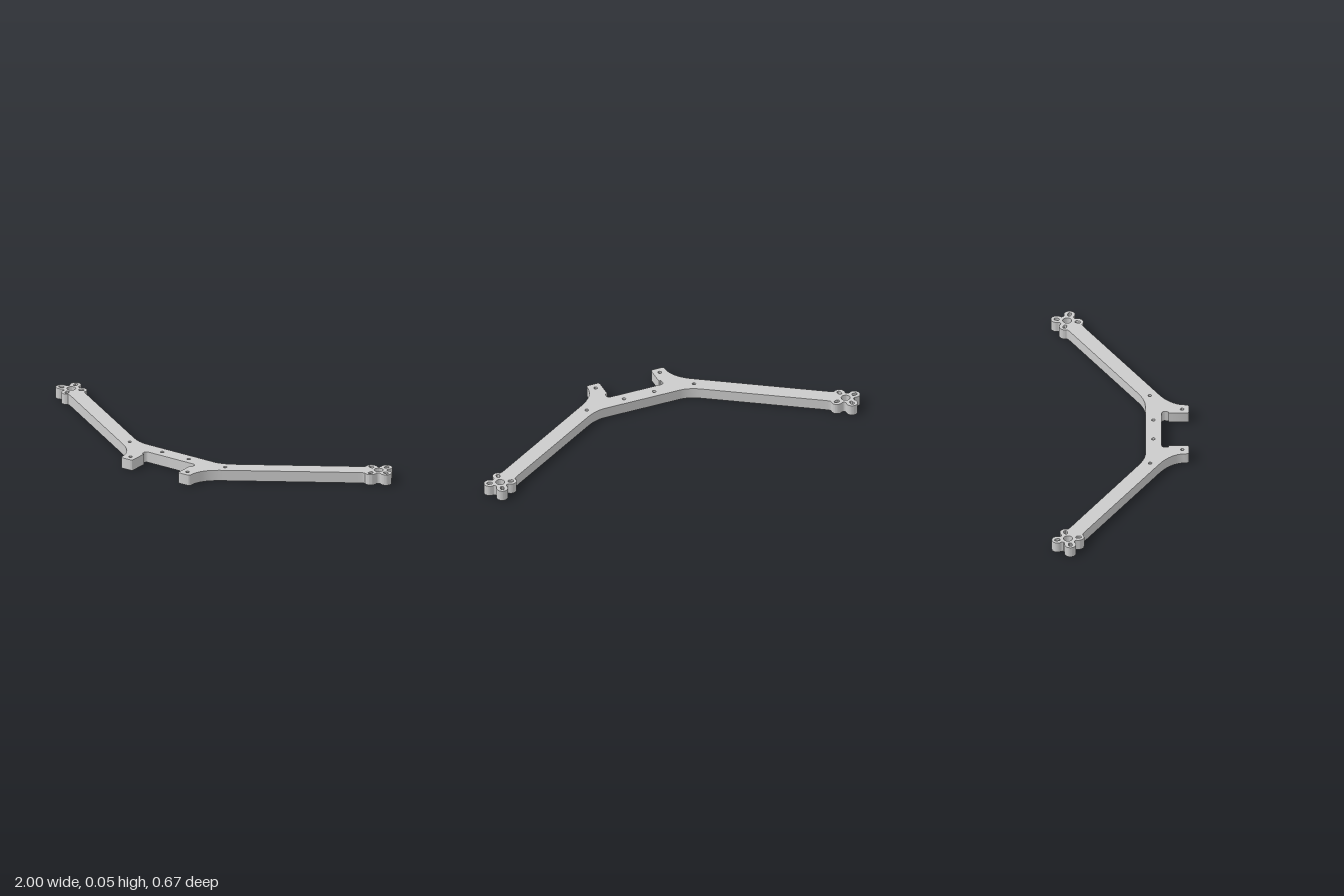
import * as THREE from 'three';
import { toCreasedNormals } from 'three/addons/utils/BufferGeometryUtils.js';

const THICK = 0.055;
const MOUNT = new THREE.Vector2(0.921, -0.258); // motor mount centre
const TILT = -0.569;                            // arm direction in plan
const LOBE = 0.053, LOBE_R = 0.028;             // lobe distance and radius
const rad = THREE.MathUtils.degToRad;

// mount-local point (u along the arm, v across it) to plan x, z
const toPlan = (p) => p.clone().rotateAround(new THREE.Vector2(), TILT).add(MOUNT);

// Four-lobed mount outline with concave fillets, joined to both arm edges
function mountOutline() {
  const path = new THREE.Path();
  const first = rad(-165);
  const c = LOBE * Math.SQRT1_2;
  path.moveTo(-0.1, -0.04);
  path.quadraticCurveTo(-0.068, -0.04, -c + LOBE_R * Math.cos(first), -c + LOBE_R * Math.sin(first));
  for (let k = 0; k < 4; k++) {
    const deg = -135 + 90 * k, a = rad(deg);
    const start = k === 0 ? first : rad(deg - 114.5);
    const end = k === 3 ? rad(165) : rad(deg + 114.5);
    path.absarc(LOBE * Math.cos(a), LOBE * Math.sin(a), LOBE_R, start, end, false);
    if (k < 3) {
      const m = rad(deg + 45);
      path.absarc(0.0515 * Math.cos(m), 0.0515 * Math.sin(m), 0.012, rad(deg + 294.5), rad(deg + 155.5), true);
    }
  }
  path.quadraticCurveTo(-0.068, 0.04, -0.1, 0.04);
  return path.getPoints(10).map(toPlan);
}

// One half of the plate outline, from the back centre round to the front centre
function halfOutline() {
  const back = new THREE.Path();
  back.moveTo(0, 0.123);
  back.lineTo(0.2, 0.123);
  back.quadraticCurveTo(0.25, 0.123, 0.307, 0.086);

  const leg = new THREE.Path();
  leg.moveTo(0.3, 0.187);
  leg.quadraticCurveTo(0.207, 0.246, 0.207, 0.322);   // flare into the leg
  leg.quadraticCurveTo(0.207, 0.337, 0.192, 0.337);
  leg.lineTo(0.15, 0.337);
  leg.quadraticCurveTo(0.137, 0.337, 0.137, 0.324);
  leg.lineTo(0.137, 0.236);
  leg.lineTo(0.148, 0.236);                           // corner relief notch
  leg.lineTo(0.15, 0.219);
  leg.quadraticCurveTo(0.15, 0.203, 0.134, 0.203);
  leg.lineTo(0, 0.203);
  return [...back.getPoints(10), ...mountOutline(), ...leg.getPoints(12)];
}

function roundHole(x, z, r) {
  const hole = new THREE.Path();
  hole.absarc(x, z, r, 0, Math.PI * 2, true);
  return hole.getPoints(16).slice(0, -1);
}

// Short radial slot in a mount lobe
function slotHole(angle) {
  const slot = new THREE.Path();
  const r = 0.009, inner = LOBE - 0.005, outer = LOBE + 0.005;
  slot.absarc(outer, 0, r, -Math.PI / 2, Math.PI / 2, false);
  slot.absarc(inner, 0, r, Math.PI / 2, Math.PI * 1.5, false);
  return slot.getPoints(8).map((p) => toPlan(p.rotateAround(new THREE.Vector2(), angle)));
}

export function createModel() {
  const group = new THREE.Group();
  group.name = 'armBracket';

  const mirror = (points) => points.map((p) => new THREE.Vector2(-p.x, p.y));
  const half = halfOutline();
  const shape = new THREE.Shape([...half, ...mirror(half).reverse().slice(1, -1)]);

  // Fixing holes, shaft hole and slots, mirrored to both sides
  const holes = [
    roundHole(0.08, 0.162, 0.009),
    roundHole(0.286, 0.146, 0.009),
    roundHole(0.171, 0.303, 0.009),
    roundHole(MOUNT.x, MOUNT.y, 0.022),
    ...[45, 135, 225, 315].map((d) => slotHole(rad(d))),
  ];
  for (const h of holes) shape.holes.push(new THREE.Path(h), new THREE.Path(mirror(h)));

  let geometry = new THREE.ExtrudeGeometry(shape, { depth: THICK, bevelEnabled: false });
  geometry.rotateX(Math.PI / 2).translate(0, THICK, 0);
  geometry = toCreasedNormals(geometry, 0.6);

  const plate = new THREE.Mesh(geometry, new THREE.MeshStandardMaterial({ color: 0xcccccc }));
  plate.name = 'bracketPlate';
  group.add(plate);
  return group;
}
